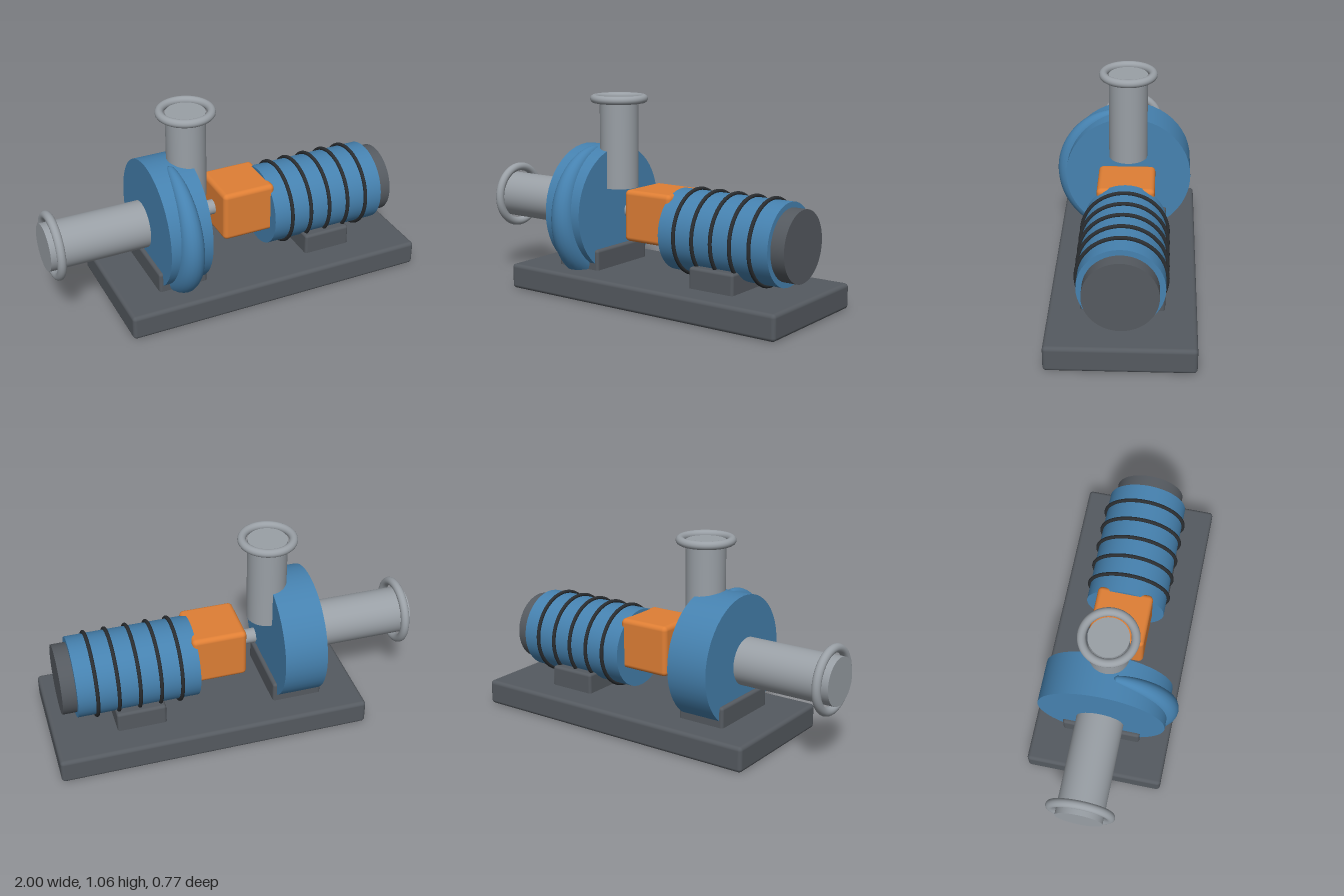
import * as THREE from 'three';
import { RoundedBoxGeometry } from 'three/addons/geometries/RoundedBoxGeometry.js';
import { ParametricGeometry } from 'three/addons/geometries/ParametricGeometry.js';

const Z = -0.01;          // shared centre plane of the pump set
const PUMP_Y = 0.44;      // pump axis height
const MOTOR_Y = 0.383;    // motor axis height

const paint = (color) => new THREE.MeshStandardMaterial({ color });

export function createModel() {
  const model = new THREE.Group();
  model.name = 'pumpSet';

  const blue = paint(0x4682b0);
  const steel = paint(0x9aa0a6);
  const dark = paint(0x555a60);
  const black = paint(0x2a2d30);
  const orange = paint(0xdf7f35);

  const add = (name, geometry, material, x, y, z = Z) => {
    const mesh = new THREE.Mesh(geometry, material);
    mesh.name = name;
    mesh.position.set(x, y, z);
    model.add(mesh);
    return mesh;
  };

  // Rounded block given by its x and y extents and its depth
  const block = (name, material, x0, x1, y0, y1, depth, radius) =>
    add(name, new RoundedBoxGeometry(x1 - x0, y1 - y0, depth, 4, radius),
      material, (x0 + x1) / 2, (y0 + y1) / 2);

  // Solid cylinder lying along x
  const barrel = (name, material, x0, x1, y, radius) =>
    add(name, new THREE.CylinderGeometry(radius, radius, x1 - x0, 48).rotateZ(Math.PI / 2),
      material, (x0 + x1) / 2, y);

  // Ring around the x axis
  const ring = (name, material, x, y, radius, tube) =>
    add(name, new THREE.TorusGeometry(radius, tube, 16, 64).rotateY(Math.PI / 2), material, x, y);

  // Base plate and the two supports
  block('basePlate', dark, -0.67, 1, 0, 0.135, 0.742, 0.02);
  block('pumpSupport', dark, -0.46, -0.19, 0.1, 0.245, 0.425, 0.015);
  block('motorFoot', dark, 0.4, 0.665, 0.1, 0.245, 0.425, 0.015);

  // Pump casing
  barrel('pumpCasing', blue, -0.44, -0.21, PUMP_Y, 0.342);

  // Scroll: a tube that widens from the top of the casing, round the front, to the bottom
  const scroll = new ParametricGeometry((u, v, target) => {
    const a = 0.12 + u * (Math.PI - 0.12);
    const b = v * Math.PI * 2;
    const t = 0.008 + 0.082 * Math.sqrt(u);
    const r = 0.33 + t * Math.cos(b);
    target.set(t * Math.sin(b), r * Math.cos(a), r * Math.sin(a));
  }, 48, 20);
  const scrollPaint = blue.clone();
  scrollPaint.side = THREE.DoubleSide;
  add('pumpScroll', scroll, scrollPaint, -0.325, PUMP_Y);

  // Suction pipe and its flange
  barrel('inletPipe', steel, -1, -0.465, PUMP_Y, 0.126);
  ring('inletFlange', steel, -0.955, PUMP_Y, 0.16, 0.023);

  // Discharge pipe and its flange
  add('outletPipe', new THREE.CylinderGeometry(0.104, 0.104, 0.477, 48), steel, -0.209, 0.8015);
  add('outletFlange', new THREE.TorusGeometry(0.133, 0.022, 16, 64).rotateX(Math.PI / 2),
    steel, -0.209, 1.04);

  // Shaft and coupling guard
  barrel('shaft', steel, -0.145, 0.25, PUMP_Y, 0.04);
  block('couplingGuard', orange, -0.06, 0.235, 0.305, 0.58, 0.3, 0.025);

  // Motor with cooling ribs and end cap
  barrel('motorBody', blue, 0.21, 0.86, MOTOR_Y, 0.215);
  barrel('motorEndCap', dark, 0.8, 0.935, MOTOR_Y, 0.186);
  for (let i = 0; i < 5; i++) {
    ring('coolingRib', black, 0.31 + i * 0.112, MOTOR_Y, 0.221, 0.01);
  }

  return model;
}
